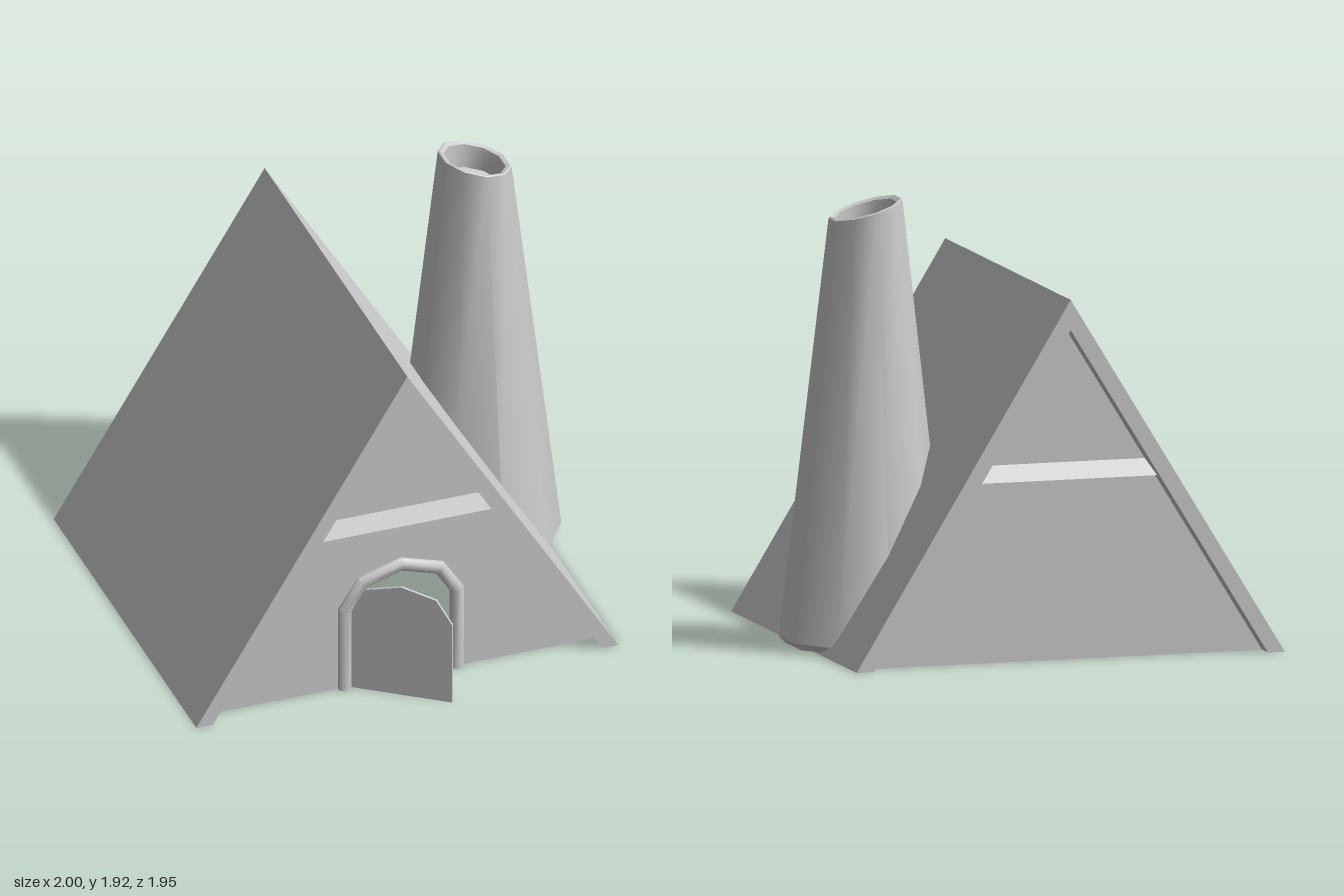
import * as THREE from 'three';
import { toCreasedNormals } from 'three/addons/utils/BufferGeometryUtils.js';

const CX = -0.045;                  // ridge line of the hut
const FRONT = 0.785, BACK = -0.975; // roof ends
const INSET = 0.085;                // how far the gable walls sit back

const grey = new THREE.MeshStandardMaterial({ color: 0xcccccc });
const greyDouble = new THREE.MeshStandardMaterial({ color: 0xcccccc, side: THREE.DoubleSide });

function mesh(name, geometry, material = grey) {
  const m = new THREE.Mesh(geometry, material);
  m.name = name;
  return m;
}

function extrude(points, depth) {
  const shape = new THREE.Shape(points.map(([x, y]) => new THREE.Vector2(x, y)));
  return new THREE.ExtrudeGeometry(shape, { depth, bevelEnabled: false });
}

// Skin a list of closed rings (counter-clockwise around the direction of travel)
function loft(rings, crease) {
  const n = rings[0].length, index = [];
  for (let i = 0; i < rings.length - 1; i++) {
    for (let j = 0; j < n; j++) {
      const a = i * n + j, b = i * n + (j + 1) % n;
      index.push(a, b, b + n, a, b + n, a + n);
    }
  }
  const g = new THREE.BufferGeometry();
  g.setAttribute('position', new THREE.Float32BufferAttribute(rings.flat(2), 3));
  g.setIndex(index);
  return toCreasedNormals(g, crease);
}

// Arch outline, from the left foot over the top to the right foot
const arch = (w, s, shoulderX, shoulderY, top) => [
  [-w, 0], [-w, s], [-shoulderX, shoulderY], [0, top], [shoulderX, shoulderY], [w, s], [w, 0],
];

// Gable wall facing +z, with its outer face at z = 0, and the flared ledge across it
function gable(name, doorway) {
  const g = new THREE.Group();
  g.name = name;
  const outline = [[0.88, 0], [0, 1.43], [-0.88, 0]];
  if (doorway) outline.push(...arch(0.25, 0.39, 0.17, 0.51, 0.565));
  const wall = mesh(name + 'Wall', extrude(outline, 0.015), greyDouble);
  wall.position.z = -0.015;
  const ledge = mesh(name + 'Ledge', extrude([[-0.01, 0.78], [0.04, 0.78], [0, 0.85], [-0.01, 0.85]], 0.8));
  ledge.rotation.y = -Math.PI / 2; // profile z runs along x, length along z, before turning
  ledge.scale.z = -1;
  ledge.geometry.rotateY(-Math.PI / 2);
  ledge.geometry.translate(0.4, 0, 0);
  ledge.rotation.y = 0;
  ledge.scale.z = 1;
  g.add(wall, ledge);
  g.position.x = CX;
  return g;
}

// Rounded bar swept along the arch with mitred corners
function doorFrame() {
  const path = arch(0.255, 0.39, 0.175, 0.515, 0.57).map(([x, y]) => new THREE.Vector2(x, y));
  const normals = path.slice(1).map((p, i) => {
    const t = p.clone().sub(path[i]).normalize();
    return new THREE.Vector2(t.y, -t.x);
  });
  const r = 0.031, sides = 8;
  const rings = path.map((p, i) => {
    const a = normals[Math.max(i - 1, 0)], b = normals[Math.min(i, normals.length - 1)];
    const n = a.clone().add(b).normalize();
    n.multiplyScalar(1 / n.dot(a));
    return Array.from({ length: sides }, (_, j) => {
      const f = (j + 0.5) / sides * Math.PI * 2, c = Math.cos(f) * r;
      return [p.x + n.x * c, p.y + n.y * c, -Math.sin(f) * r];
    });
  });
  // close both feet
  const cap = (p) => Array.from({ length: sides }, () => [p.x, p.y, 0]);
  rings.unshift(cap(path[0]));
  rings.push(cap(path[path.length - 1]));
  return mesh('doorFrame', loft(rings, 0.9));
}

// Tapering ten-sided chimney whose foot is trimmed along the roof slope
function chimney() {
  const cx = 0.645, cz = -0.265, sides = 10;
  const radius = (y) => 0.157 + 0.115 * (1.88 - y);
  const ring = (fn) => Array.from({ length: sides }, (_, j) => {
    const f = (j + 0.5) / sides * Math.PI * 2;
    return fn(Math.cos(f), -Math.sin(f));
  });
  // height at which each side line meets the middle of the roof slab
  const footY = (c) => Math.max(0.04, (0.87 - cx - radius(0) * c) / (0.612 - 0.115 * c));
  const at = (c, s, r, y) => [cx + r * c, y, cz + r * s];
  const onTilt = (r, drop) => ring((c, s) => at(c, s, r, 1.88 - 0.28 * r * c - drop));
  const foot = ring((c, s) => at(c, s, radius(footY(c)), footY(c)));
  const under = ring((c, s) => {
    const y = footY(c), low = y === 0.04;
    return at(c, s, radius(y) - (low ? 0.03 : 0), low ? 0.01 : y);
  });
  const tuck = under.map(([x, y, z]) => [Math.min(x, 0.88), y, z]);
  const flue = ring(() => [cx, 1.76, cz]);
  const rings = [tuck, under, foot, onTilt(0.157, 0), onTilt(0.15, -0.004), onTilt(0.132, 0.005), onTilt(0.132, 0.12), flue];
  return mesh('chimney', loft(rings, 0.7), greyDouble);
}

export function createModel() {
  const model = new THREE.Group();
  model.name = 'hut';

  // Steep roof slab reaching the ground on both sides
  const roof = mesh('roof', extrude([
    [-0.955, 0], [-0.88, 0], [0, 1.43], [0.88, 0], [0.955, 0], [0, 1.56],
  ], FRONT - BACK));
  roof.position.set(CX, 0, BACK);

  // Gable walls, the front one with an arched doorway
  const front = gable('frontGable', true);
  front.position.z = FRONT - INSET;
  const back = gable('backGable', false);
  back.rotation.y = Math.PI;
  back.position.z = BACK + INSET;

  const frame = doorFrame();
  frame.position.set(CX, 0, FRONT - INSET);

  // Open door, hinged at its left edge
  const door = mesh('door', extrude(arch(0.225, 0.39, 0.155, 0.5, 0.54), 0.012));
  door.geometry.translate(0.225, 0, -0.006);
  door.position.set(CX - 0.225, 0, FRONT - INSET);
  door.rotation.y = -0.634;

  model.add(roof, front, back, frame, door, chimney());
  return model;
}
